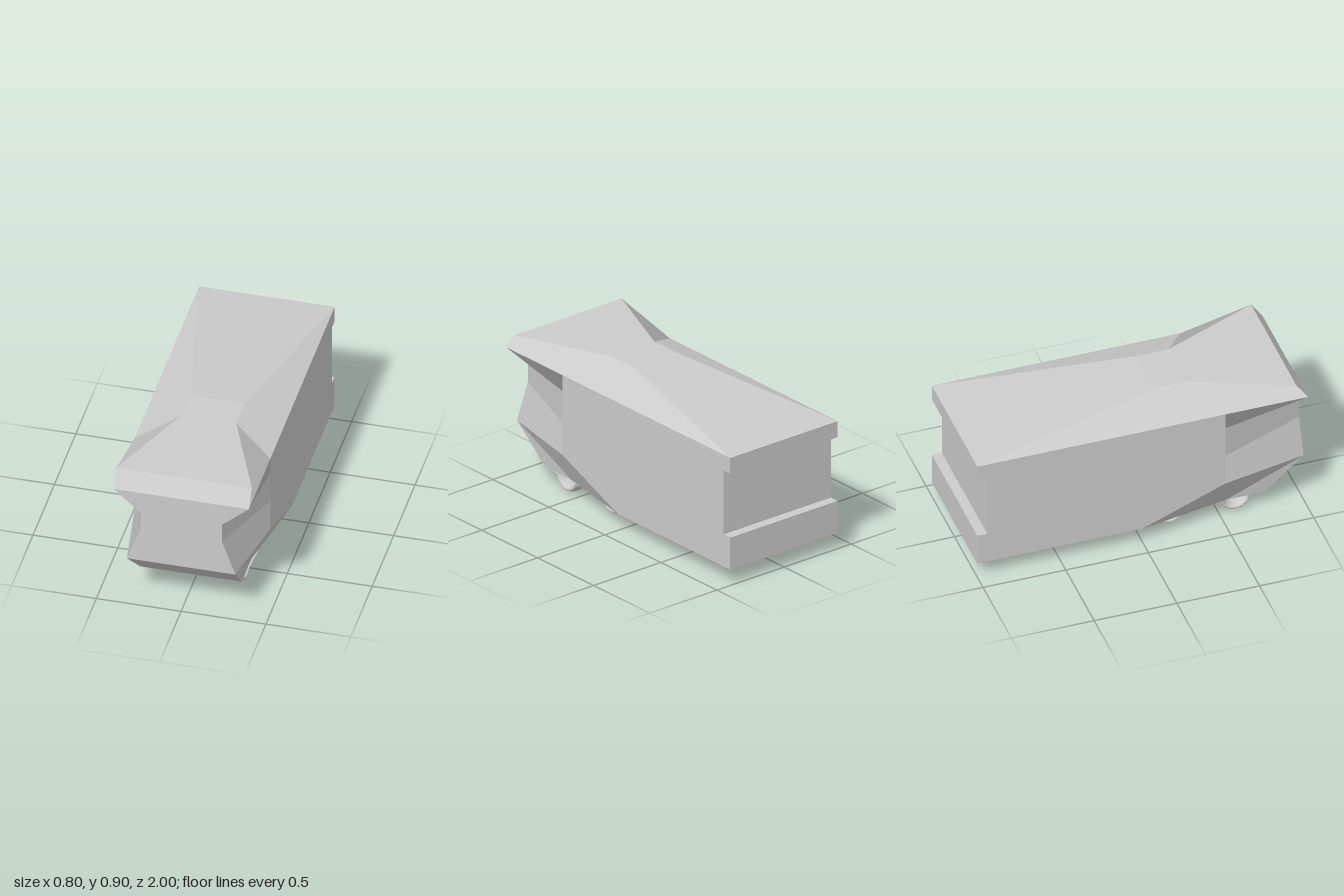
import * as THREE from 'three';

// Builds a mesh from flat-shaded polygons: [outward hint, corners..., ].
// The hint decides the winding; polygons are fanned from their first corner.
function panelMesh(name, polygons, material) {
  const position = [], normal = [];
  for (const [hint, ...corners] of polygons) {
    const pts = corners.map((c) => new THREE.Vector3(...c));
    const n = new THREE.Vector3();
    pts.forEach((p, i) => n.add(p.clone().cross(pts[(i + 1) % pts.length])));
    n.normalize();
    const flip = n.dot(new THREE.Vector3(...hint)) < 0;
    if (flip) n.negate();
    for (let i = 1; i < pts.length - 1; i++) {
      const tri = flip ? [pts[0], pts[i + 1], pts[i]] : [pts[0], pts[i], pts[i + 1]];
      for (const p of tri) {
        position.push(p.x, p.y, p.z);
        normal.push(n.x, n.y, n.z);
      }
    }
  }
  const geometry = new THREE.BufferGeometry();
  geometry.setAttribute('position', new THREE.Float32BufferAttribute(position, 3));
  geometry.setAttribute('normal', new THREE.Float32BufferAttribute(normal, 3));
  const mesh = new THREE.Mesh(geometry, material);
  mesh.name = name;
  return mesh;
}

// Adds the x-mirrored copy of every polygon
const mirrorX = (polygons) => [
  ...polygons,
  ...polygons.map((poly) => poly.map(([x, y, z]) => [-x, y, z])),
];

// Symmetric polygon closed across the centre line from its +x half
const across = (hint, ...half) => [hint, ...half, ...half.map(([x, y, z]) => [-x, y, z]).reverse()];

export function createModel() {
  const group = new THREE.Group();
  const grey = new THREE.MeshStandardMaterial({ color: 0xcccccc });
  const UP = [0, 1, 0], DOWN = [0, -1, 0], OUT = [1, 0, 0], FRONT = [0, 0, 1], BACK = [0, 0, -1];

  // Shared corners on the +x half
  const brimLow = [0.4, 0.8, 1], brimTop = [0.4, 0.9, 0.93];
  const ridgeFront = [0.16, 0.9, 0.35], ridgeBack = [0.16, 0.9, 0.15];
  const eaveFront = [0.4, 0.8, 0.5], eaveBack = [0.4, 0.8, -1];
  const nose = [[0.24, 0.66, 1], [0.24, 0.54, 1], [0.32, 0.32, 1]];
  const cheek = [[0.4, 0.7, 0.5], [0.4, 0.5, 0.5], [0.4, 0.3, 0.5]];
  const chinFront = [0.3, 0.1, 0.77], chinBack = [0.3, 0.1, 0.54];
  const sillFront = [0.4, 0.1, 0], sillBack = [0.4, 0.1, -1];

  // Roof with raised front brim
  group.add(panelMesh('roof', [
    across(UP, brimTop, ridgeFront),
    across(UP, ridgeFront, ridgeBack),
    across(UP, ridgeBack, eaveBack),
    across(FRONT, brimTop, brimLow),
    ...mirrorX([
      [UP, ridgeFront, ridgeBack, eaveBack, eaveFront],
      [OUT, brimTop, ridgeFront, eaveFront, brimLow],
    ]),
  ], grey));

  // Front plate and sloping chin
  group.add(panelMesh('frontPlate', [
    across(FRONT, brimLow, nose[0]),
    across(FRONT, nose[0], nose[1]),
    across(FRONT, nose[1], nose[2]),
    across(FRONT, nose[2], chinFront),
  ], grey));

  // Recessed cheeks between front plate and sides
  group.add(panelMesh('cheeks', mirrorX([
    [OUT, brimLow, nose[0], cheek[0], eaveFront],
    [OUT, nose[0], nose[1], cheek[1], cheek[0]],
    [OUT, nose[1], nose[2], cheek[2], cheek[1]],
    [OUT, nose[2], chinBack, sillFront, cheek[2]],
    [OUT, nose[2], chinFront, chinBack],
  ]), grey));

  // Side walls, with the rear slot cut out
  const slotZ = -0.94, slotLow = 0.3, slotHigh = 0.7;
  group.add(panelMesh('sideWalls', mirrorX([
    [OUT, [0.4, 0.1, slotZ], sillFront, cheek[2], eaveFront, [0.4, 0.8, slotZ]],
    [OUT, sillBack, [0.4, 0.1, slotZ], [0.4, slotLow, slotZ], [0.4, slotLow, -1]],
    [OUT, [0.4, slotHigh, -1], [0.4, slotHigh, slotZ], [0.4, 0.8, slotZ], eaveBack],
  ]), grey));

  // Rear wall with its horizontal slot
  group.add(panelMesh('rearWall', [
    across(BACK, sillBack, [0.4, slotLow, -1]),
    across(UP, [0.4, slotLow, -1], [0.4, slotLow, slotZ]),
    across(BACK, [0.4, slotLow, slotZ], [0.4, slotHigh, slotZ]),
    across(DOWN, [0.4, slotHigh, slotZ], [0.4, slotHigh, -1]),
    across(BACK, [0.4, slotHigh, -1], eaveBack),
  ], grey));

  // Floor
  group.add(panelMesh('floor', [across(DOWN, sillBack, sillFront, chinBack, chinFront)], grey));

  // Three pairs of wide ring wheels, half sunk into the floor
  const ring = new THREE.TorusGeometry(0.083, 0.017, 12, 48);
  ring.rotateY(Math.PI / 2);
  ring.scale(0.05 / 0.017, 1, 1);
  for (const z of [0.6, 0.2, -0.8]) {
    for (const side of [1, -1]) {
      const wheel = new THREE.Mesh(ring, grey);
      wheel.name = side > 0 ? 'leftWheel' : 'rightWheel';
      wheel.position.set(side * 0.24, 0.1, z);
      group.add(wheel);
    }
  }
  return group;
}
